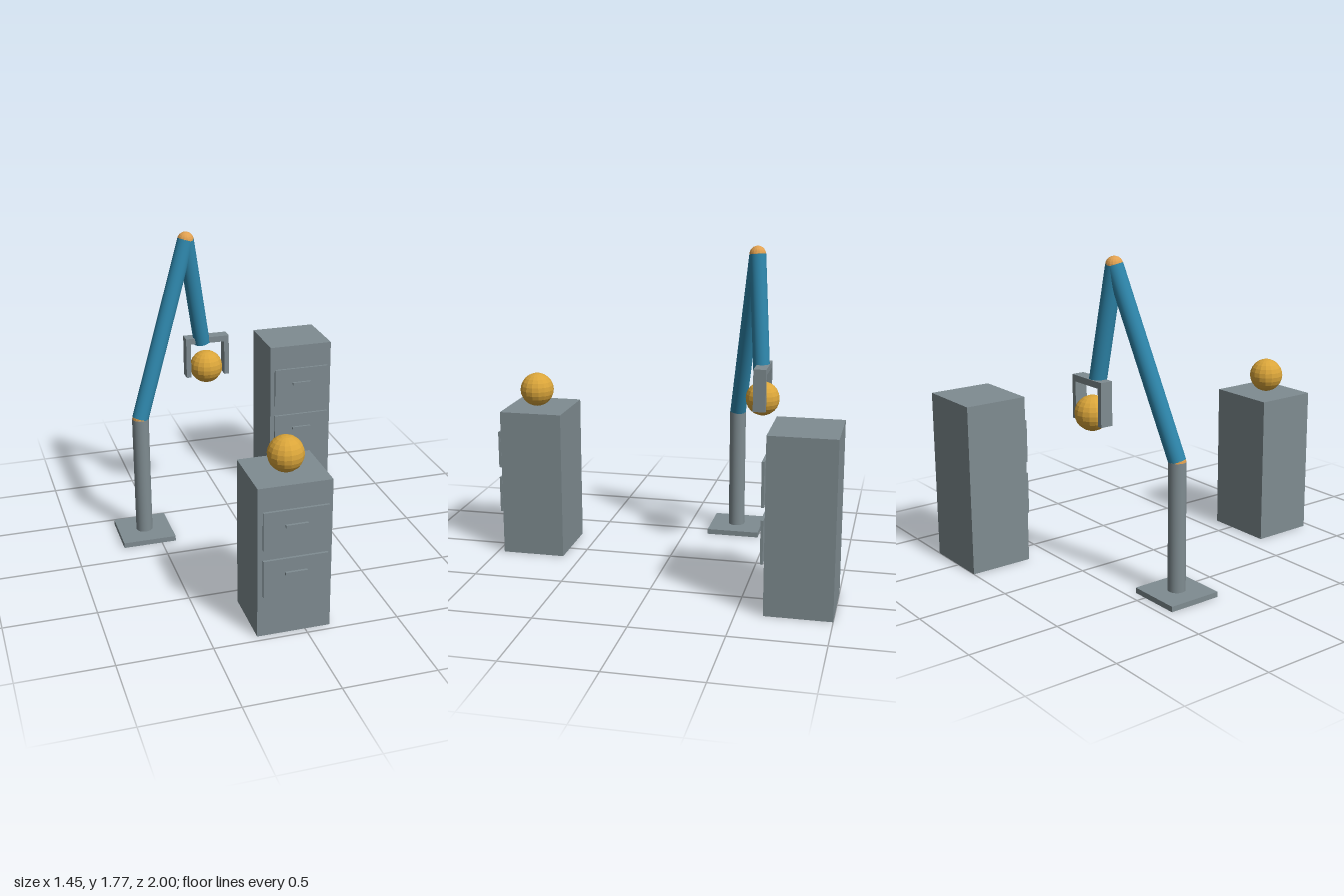
import * as THREE from 'three';

const mat = (name, color, flatShading = false) => {
  const m = new THREE.MeshStandardMaterial({ color, flatShading });
  m.name = name;
  return m;
};

export function createModel() {
  const model = new THREE.Group();
  model.name = 'robotArmWorkcell';
  const grey = mat('steelGrey', 0x7f8c91);
  const blue = mat('armBlue', 0x2e86ab);
  const gold = mat('ballGold', 0xdaa53a, true);
  const orange = mat('jointOrange', 0xe0a050, true);

  const add = (parent, name, geometry, material) => {
    const mesh = new THREE.Mesh(geometry, material);
    mesh.name = name;
    parent.add(mesh);
    return mesh;
  };
  // Box given by its limits on each axis
  const box = (parent, name, [x0, x1], [y0, y1], [z0, z1]) =>
    add(parent, name, new THREE.BoxGeometry(x1 - x0, y1 - y0, z1 - z0), grey)
      .position.set((x0 + x1) / 2, (y0 + y1) / 2, (z0 + z1) / 2);
  const sphere = (parent, name, center, r, material) =>
    add(parent, name, new THREE.SphereGeometry(r, 16, 12), material).position.copy(center);
  // Cylinder running between two points
  const rod = (parent, name, a, b, r, material) => {
    const dir = b.clone().sub(a);
    const mesh = add(parent, name, new THREE.CylinderGeometry(r, r, dir.length(), 24), material);
    mesh.position.copy(a).add(b).multiplyScalar(0.5);
    mesh.quaternion.setFromUnitVectors(new THREE.Vector3(0, 1, 0), dir.normalize());
  };
  const group = (name) => {
    const g = new THREE.Group();
    g.name = name;
    model.add(g);
    return g;
  };

  // Cabinets: body, floating drawer fronts and slim handles
  const cabinet = (name, x, front, height, drawers) => {
    const g = group(name);
    box(g, 'cabinetBody', [x - 0.197, x + 0.197], [0, height], [front - 0.357, front]);
    for (const [y0, y1, handleY] of drawers) {
      box(g, 'drawerFront', [x - 0.173, x + 0.173], [y0, y1], [front + 0.01, front + 0.024]);
      box(g, 'drawerHandle', [x - 0.059, x + 0.059], [handleY - 0.008, handleY + 0.008],
        [front + 0.024, front + 0.038]);
    }
  };
  cabinet('frontCabinet', -0.062, 0.962, 0.84, [[0.505, 0.715, 0.63], [0.24, 0.445, 0.363]]);
  cabinet('backCabinet', 0.524, -0.643, 0.953, [[0.57, 0.81, 0.713], [0.268, 0.503, 0.412]]);

  // Arm: base plate, column, two links and their joints
  const arm = group('robotArm');
  const foot = new THREE.Vector3(-0.572, 0.03, -0.292);
  const shoulder = new THREE.Vector3(-0.572, 0.74, -0.292);
  const elbow = new THREE.Vector3(-0.246, 1.728, -0.443);
  const wrist = new THREE.Vector3(-0.149, 1.092, -0.49);
  box(arm, 'basePlate', [-0.725, -0.418], [0, 0.03], [-0.446, -0.14]);
  rod(arm, 'column', foot, shoulder, 0.048, grey);
  rod(arm, 'upperArm', shoulder, elbow, 0.047, blue);
  rod(arm, 'forearm', elbow, wrist, 0.047, blue);
  sphere(arm, 'shoulderJoint', shoulder, 0.047, orange);
  sphere(arm, 'elbowJoint', elbow, 0.047, orange);

  // Gripper: crossbar and two fingers
  const gripper = group('gripper');
  const depth = [-0.538, -0.467];
  box(gripper, 'gripperBar', [-0.249, 0.009], [1.093, 1.128], depth);
  for (const x of [-0.249, -0.019])
    box(gripper, 'gripperFinger', [x, x + 0.028], [0.888, 1.093], depth);

  // Balls: one held, one resting on the front cabinet
  sphere(model, 'heldBall', new THREE.Vector3(-0.121, 0.937, -0.503), 0.096, gold);
  sphere(model, 'restingBall', new THREE.Vector3(-0.062, 0.937, 0.803), 0.096, gold);

  return model;
}
